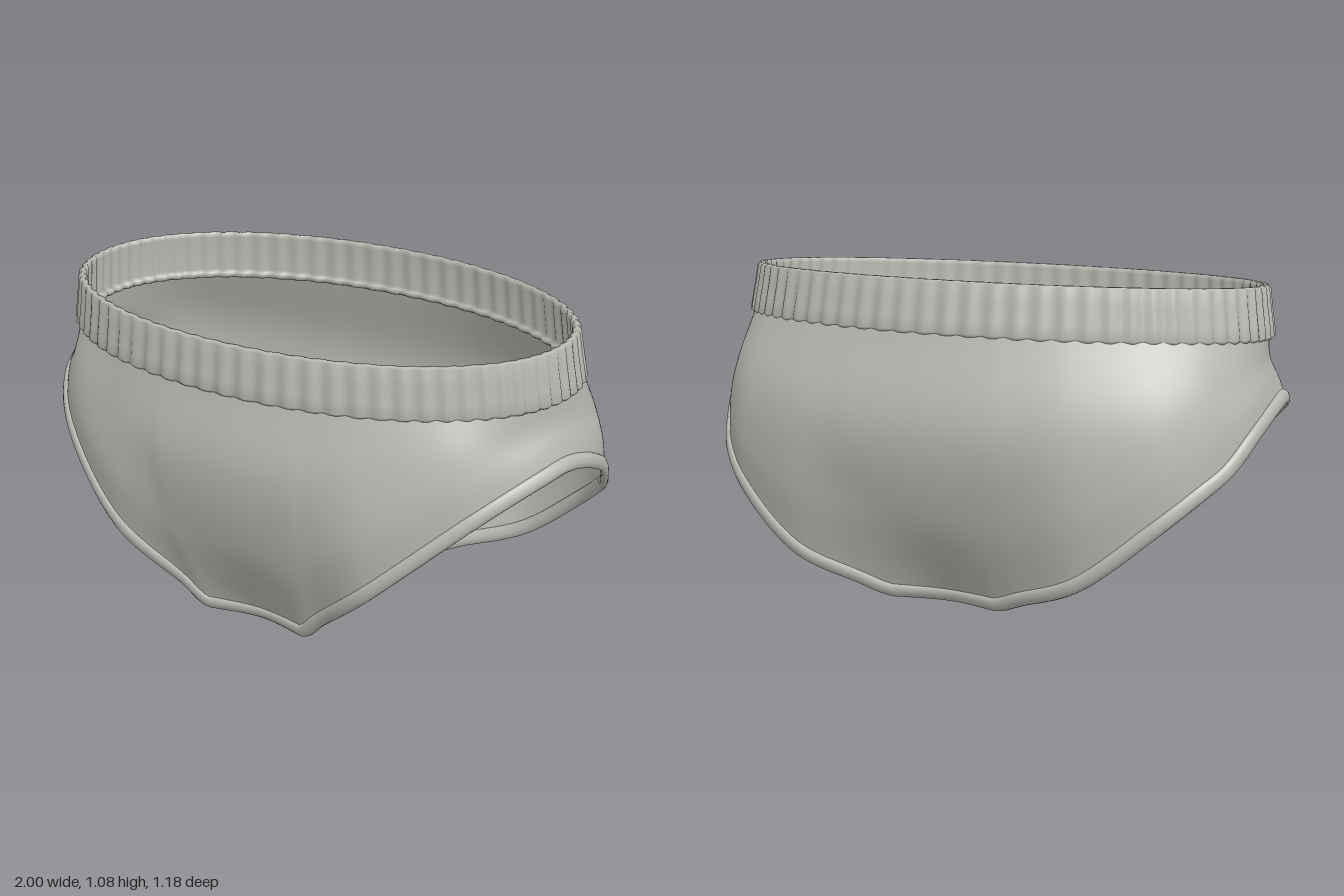
import * as THREE from 'three';

// Half of the body, front centre to back centre: upper, lower and hem point of each column
const COLUMNS = [
  [0, .62, .592, 0, .33, .53, 0, .025, .375],
  [.25, .62, .578, .23, .33, .525, .19, .025, .41],
  [.3, .63, .568, .28, .36, .53, .28, .1, .437],
  [.48, .68, .525, .495, .48, .535, .5, .28, .505],
  [.755, .77, .395, .775, .66, .405, .8, .55, .39],
  [.88, .8, .228, .915, .73, .228, .942, .67, .215],
  [.94, .82, .05, .958, .76, .07, .98, .695, .08],
  [.938, .79, -.13, .965, .71, -.14, .98, .62, -.14],
  [.883, .76, -.27, .913, .64, -.28, .935, .515, -.26],
  [.825, .73, -.355, .85, .575, -.37, .87, .442, -.355],
  [.735, .7, -.435, .765, .51, -.445, .76, .34, -.435],
  [.51, .66, -.535, .53, .4, -.53, .52, .15, -.478],
  [.31, .63, -.573, .31, .35, -.53, .3, .065, -.435],
  [.24, .62, -.582, .22, .33, -.525, .19, .025, -.4],
  [0, .62, -.59, 0, .33, -.53, 0, .025, -.365],
];
const AROUND = 336;
const RIBS = 74;

// Point on the softly squared, tilted waist oval; t runs from the front towards +x
function ovalPoint(t, halfX, halfZ, centreZ, y) {
  const s = Math.sin(t), c = Math.cos(t), n = 2.05;
  const k = (Math.abs(s) ** n + Math.abs(c) ** n) ** (-1 / n);
  return new THREE.Vector3(halfX * s * k, y - 0.027 * c * k, halfZ * c * k + centreZ);
}

// Skin closed rings of points, listed from top to bottom
function loft(rings, closeProfile) {
  const n = rings[0].length, m = rings.length, index = [];
  for (let i = 0; i < (closeProfile ? m : m - 1); i++) {
    for (let j = 0; j < n; j++) {
      const k = (j + 1) % n, r = ((i + 1) % m) * n;
      const a = i * n + j, b = r + j, c = r + k, d = i * n + k;
      index.push(a, b, d, b, c, d);
    }
  }
  const geometry = new THREE.BufferGeometry().setFromPoints(rings.flat());
  geometry.setIndex(index);
  geometry.computeVertexNormals();
  return geometry;
}

// Four smooth guide rings: waist, upper body, lower body and hem
function guideRings() {
  const levels = [[], [], [], []];
  const add = (col, side) => {
    const t = Math.atan2(col[0] / 0.96, col[2] / 0.58) * side;
    levels[0].push(ovalPoint(t, 0.932, 0.532, 0.02, 0.91));
    for (let l = 0; l < 3; l++) {
      levels[l + 1].push(new THREE.Vector3(col[l * 3] * side, col[l * 3 + 1], col[l * 3 + 2]));
    }
  };
  COLUMNS.forEach((col) => add(col, 1));
  COLUMNS.slice(1, -1).reverse().forEach((col) => add(col, -1));
  return levels.map((points) => {
    const curve = new THREE.CatmullRomCurve3(points, true);
    return Array.from({ length: AROUND }, (_, j) => {
      const p = curve.getPoint(j / AROUND);
      p.y = Math.max(p.y, 0.025);
      return p;
    });
  });
}

// Flat rolled strip along an edge ring, lying in the surface that ends there
function edgeStrip(edge, above) {
  const halfWidth = 0.025, halfThick = 0.014, sides = 10;
  const rings = Array.from({ length: sides }, () => []);
  edge.forEach((p, j) => {
    const n = edge.length;
    const tangent = edge[(j + 1) % n].clone().sub(edge[(j + n - 1) % n]).normalize();
    const out = tangent.clone().cross(above[j].clone().sub(p)).normalize();
    const up = out.clone().cross(tangent);
    rings.forEach((ring, i) => {
      const a = (i / sides) * Math.PI * 2;
      ring.push(p.clone().addScaledVector(up, halfWidth * Math.cos(a)).addScaledVector(out, halfThick * Math.sin(a)));
    });
  });
  return loft(rings, true);
}

export function createModel() {
  const group = new THREE.Group();
  const fabric = new THREE.MeshStandardMaterial({ color: 0xbabab4, side: THREE.DoubleSide });
  fabric.name = 'grey fabric';
  const add = (name, geometry) => {
    const mesh = new THREE.Mesh(geometry, fabric);
    mesh.name = name;
    group.add(mesh);
  };

  // Body: a smooth column from waist to hem at every step around
  const guides = guideRings();
  const rows = 24;
  const rings = Array.from({ length: rows + 1 }, () => []);
  for (let j = 0; j < AROUND; j++) {
    const column = new THREE.CatmullRomCurve3(guides.map((g) => g[j]));
    for (let i = 0; i <= rows; i++) rings[i].push(column.getPoint(i / rows));
  }
  add('body', loft(rings, false));

  // Hem: edging round the leg openings and the lower edges
  add('hem', edgeStrip(rings[rows], rings[rows - 2]));

  // Waistband: ribbed elastic; profile is [height 0..1, offset outwards, rib depth]
  const profile = [
    [1, -.008, .003], [.96, 0, .004], [.65, 0, .005], [.3, .002, .006], [.06, .003, .006],
    [0, -.008, .004], [0, -.034, .004], [.05, -.046, .004], [.13, -.042, .004], [.18, -.026, .004],
    [.9, -.024, .004], [1, -.02, .003],
  ];
  const steps = RIBS * 6;
  add('waistband', loft(profile.map(([h, offset, depth]) =>
    Array.from({ length: steps }, (_, j) => {
      const t = (j / steps) * Math.PI * 2;
      const d = offset + depth * Math.cos(t * RIBS);
      return ovalPoint(t, 0.946 - 0.02 * h + d, 0.545 - 0.015 * h + d, 0.02 + 0.01 * h, 0.885 + 0.172 * h);
    })), true));

  return group;
}
